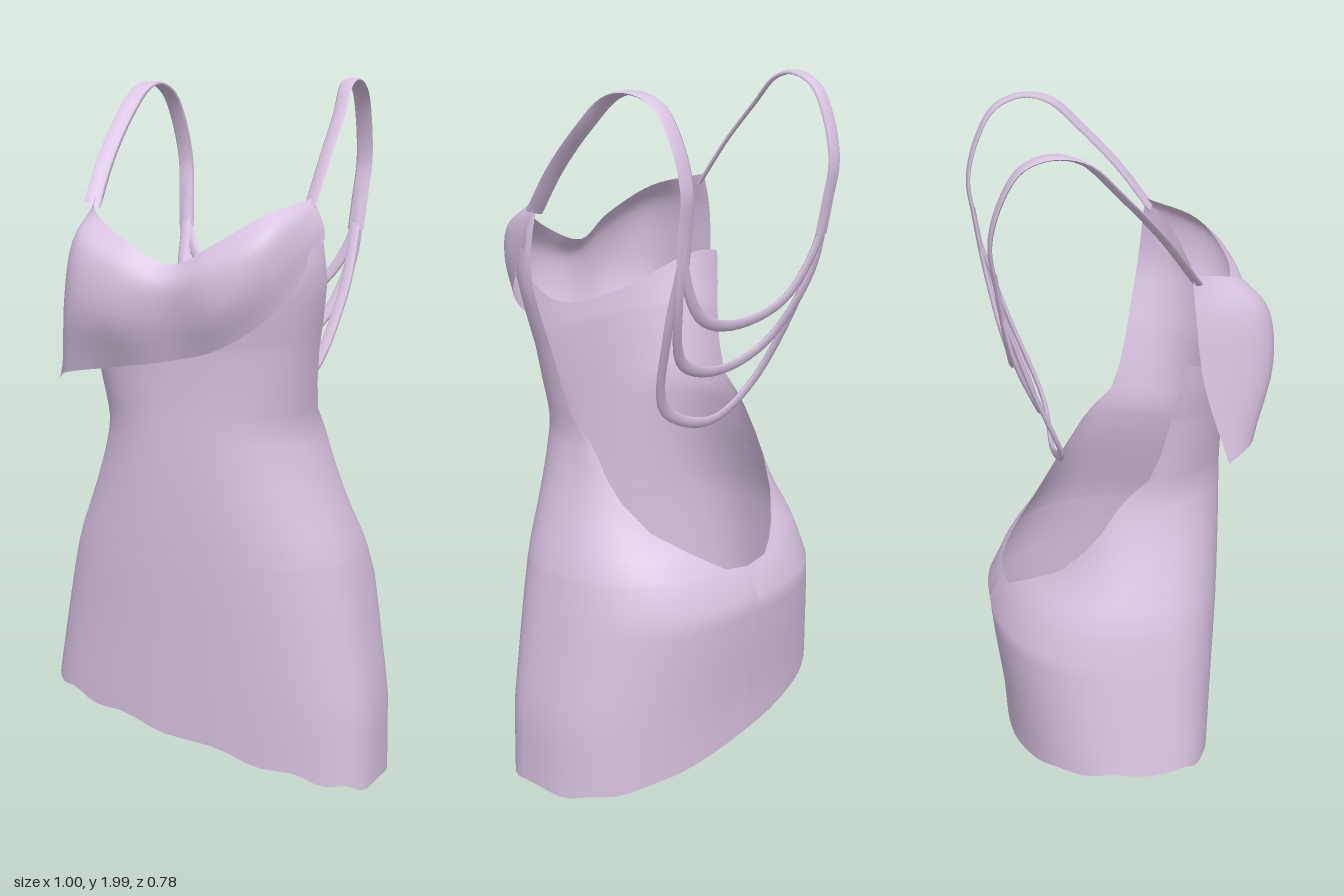
import * as THREE from 'three';

const fabric = new THREE.MeshStandardMaterial({ color: 0xd9c4e2, side: THREE.DoubleSide });
fabric.name = 'lilac fabric';

// Smooth sheet of nu x nv cells; fn(u index, v index) returns [x, y, z]
function sheet(name, nu, nv, fn) {
  const pos = [], index = [];
  for (let j = 0; j <= nv; j++) for (let i = 0; i <= nu; i++) pos.push(...fn(i, j));
  for (let j = 0; j < nv; j++) for (let i = 0; i < nu; i++) {
    const a = j * (nu + 1) + i, b = a + 1, c = a + nu + 1, d = c + 1;
    index.push(a, b, d, a, d, c);
  }
  const g = new THREE.BufferGeometry();
  g.setAttribute('position', new THREE.Float32BufferAttribute(pos, 3));
  g.setIndex(index);
  g.computeVertexNormals();
  const m = new THREE.Mesh(g, fabric);
  m.name = name;
  return m;
}

// Linear lookup in rows sorted by their first value
function lookup(rows, y) {
  if (y <= rows[0][0]) return rows[0];
  for (let i = 1; i < rows.length; i++) if (y <= rows[i][0]) {
    const a = rows[i - 1], b = rows[i], t = (y - a[0]) / (b[0] - a[0]);
    return a.map((v, k) => v + (b[k] - v) * t);
  }
  return rows[rows.length - 1];
}

const curve = pts => new THREE.CatmullRomCurve3(pts.map(p => new THREE.Vector3(...p)));

// Flattened band along a curve; side(tangent) gives its width direction
function band(name, pts, width, thick, side, steps = 32) {
  const c = curve(pts), n = 8;
  return sheet(name, n, steps, (i, j) => {
    const p = c.getPoint(j / steps), t = c.getTangent(j / steps);
    const w = side(t).normalize(), o = new THREE.Vector3().crossVectors(w, t).normalize();
    const a = (i / n) * Math.PI * 2;
    return p.addScaledVector(w, Math.cos(a) * width / 2).addScaledVector(o, Math.sin(a) * thick / 2).toArray();
  });
}

// Height, half width, front z, back z, centre z, angle where the open back starts
const P = Math.PI;
const sections = [
  [0.00, 0.503, 0.215, -0.335, 0, P],
  [0.24, 0.500, 0.235, -0.350, 0, P],
  [0.45, 0.467, 0.252, -0.378, 0, P],
  [0.57, 0.447, 0.262, -0.390, 0, P],
  [0.65, 0.431, 0.268, -0.350, 0, P],
  [0.66, 0.428, 0.268, -0.345, 0, 3.0],
  [0.69, 0.420, 0.270, -0.326, 0, 2.89],
  [0.72, 0.410, 0.272, -0.303, 0, 2.77],
  [0.78, 0.388, 0.275, -0.258, 0, 2.5],
  [0.86, 0.358, 0.278, -0.225, 0, 2.22],
  [0.92, 0.338, 0.279, -0.205, 0, 2.03],
  [0.99, 0.320, 0.280, -0.170, 0, 1.86],
  [1.03, 0.314, 0.280, -0.130, 0.005, 1.74],
  [1.08, 0.314, 0.280, -0.100, 0.03, P / 2],
  [1.16, 0.324, 0.282, -0.1, 0.06, P / 2],
  [1.25, 0.336, 0.288, -0.1, 0.08, P / 2],
  [1.35, 0.357, 0.305, -0.1, 0.10, P / 2],
  [1.45, 0.374, 0.318, -0.1, 0.12, P / 2],
  [1.55, 0.365, 0.305, -0.1, 0.13, P / 2],
  [1.67, 0.335, 0.280, -0.1, 0.135, P / 2],
];
const middle = sections.slice(3, 16).map(s => s[0]);
const soft = (v, e) => Math.sign(v) * Math.abs(v) ** e;

// Slanted, rippled hem, open back and a top edge hidden under the cowl
function makeBody() {
  const low = 8, high = 8, nu = 64, last = middle.length - 1;
  return sheet('dressBody', nu, low + last + high, (i, j) => {
    const u = (i / nu) * 2 - 1;
    const rimRow = j <= low ? 0.57 : j <= low + last ? middle[j - low] : 1.25;
    const a = u * lookup(sections, rimRow)[5], s = Math.sin(a);
    let y = rimRow;
    if (j < low) {
      const hem = 0.125 - 0.112 * soft(s, 0.85) + 0.008 * Math.sin(a * 13) * Math.cos(a / 2);
      y = hem + (0.57 - hem) * j / low;
    } else if (j > low + last) {
      const top = 1.31 + (s > 0 ? 0.33 * s ** 2.2 : 0.12 * s * s);
      y = 1.25 + (top - 1.25) * (j - low - last) / high;
    }
    const [, w, zf, zb, zc] = lookup(sections, y), c = Math.cos(a);
    // the skirt front is flatter towards the hem
    const square = c > 0 ? Math.min(0.85, 0.52 + 0.42 * y) : 0.85;
    const z = zc + Math.abs(c) ** square * (c > 0 ? zf - zc : zb - zc);
    return [w * soft(s, 0.85), y, z];
  });
}

// Draped cowl over the bust, hanging lower on the right
function makeCowl() {
  const rails = [
    [[-.33, 1.665, .135], [-.25, 1.622, .275], [-.12, 1.545, .335], [0, 1.49, .32], [.12, 1.54, .335], [.25, 1.622, .275], [.335, 1.665, .14]],
    [[-.36, 1.56, .14], [-.285, 1.55, .335], [-.14, 1.48, .382], [0, 1.44, .365], [.14, 1.48, .382], [.28, 1.565, .325], [.35, 1.64, .14]],
    [[-.385, 1.38, .16], [-.31, 1.37, .35], [-.17, 1.35, .39], [0, 1.35, .362], [.16, 1.38, .382], [.295, 1.48, .32], [.367, 1.6, .14]],
    [[-.40, 1.15, .23], [-.33, 1.18, .31], [-.16, 1.205, .325], [0, 1.23, .325], [.15, 1.27, .335], [.30, 1.38, .28], [.374, 1.56, .14]],
  ].map(curve);
  const nu = 36, nv = 14;
  return sheet('cowlDrape', nu, nv, (i, j) => {
    const across = curve(rails.map(r => r.getPoint(i / nu).toArray()));
    return across.getPoint(1 - j / nv).toArray();
  });
}

// Narrow lining between the legs, widening to the front and back: z, y, half width
function makeLining() {
  const rows = [
    [.235, .37, .26], [.2, .33, .22], [.167, .27, .14], [.12, .235, .07], [.04, .22, .04],
    [-.15, .225, .038], [-.22, .245, .06], [-.28, .3, .12], [-.33, .4, .22], [-.36, .47, .27],
  ];
  const path = curve(rows), nu = 8, nv = 28;
  return sheet('innerLining', nu, nv, (i, j) => {
    const p = path.getPoint(j / nv), u = (i / nu) * 2 - 1, x = u * p.z;
    return [x, p.y, p.x * (1 - 1.3 * x * x)];
  });
}

export function createModel() {
  const dress = new THREE.Group();
  dress.name = 'dress';
  dress.add(makeBody(), makeCowl(), makeLining());

  // Shoulder straps, turned a little inward as they rise from the front
  for (const s of [1, -1]) {
    const pts = [[.332, 1.64, .15], [.337, 1.77, .055], [.335, 1.89, -.055], [.323, 1.97, -.14], [.315, 1.99, -.22],
      [.308, 1.96, -.30], [.3, 1.87, -.355], [.293, 1.76, -.382], [.285, 1.66, -.37], [.278, 1.56, -.355]];
    dress.add(band(s > 0 ? 'leftStrap' : 'rightStrap', pts.map(([x, y, z]) => [x * s, y, z]),
      0.05, 0.012, t => {
        const turn = Math.max(0, t.y) * 0.4;
        return new THREE.Vector3(s, turn, turn);
      }, 40));
  }

  // Three loops hanging across the open back
  const loops = [
    [[.285, 1.68, -.372], [.268, 1.54, -.352], [.17, 1.395, -.325], [0, 1.35, -.312]],
    [[.285, 1.66, -.37], [.268, 1.45, -.33], [.175, 1.26, -.258], [0, 1.205, -.24]],
    [[.28, 1.58, -.357], [.262, 1.36, -.285], [.18, 1.12, -.195], [0, 1.045, -.195]],
  ];
  loops.forEach((half, k) => {
    const other = half.slice(0, 3).reverse().map(([x, y, z]) => [-x, y, z]);
    dress.add(band('backLoop' + (k + 1), [...half, ...other], 0.034, 0.014,
      t => new THREE.Vector3().crossVectors(t, new THREE.Vector3(0, 0.3, 1))));
  });
  return dress;
}
